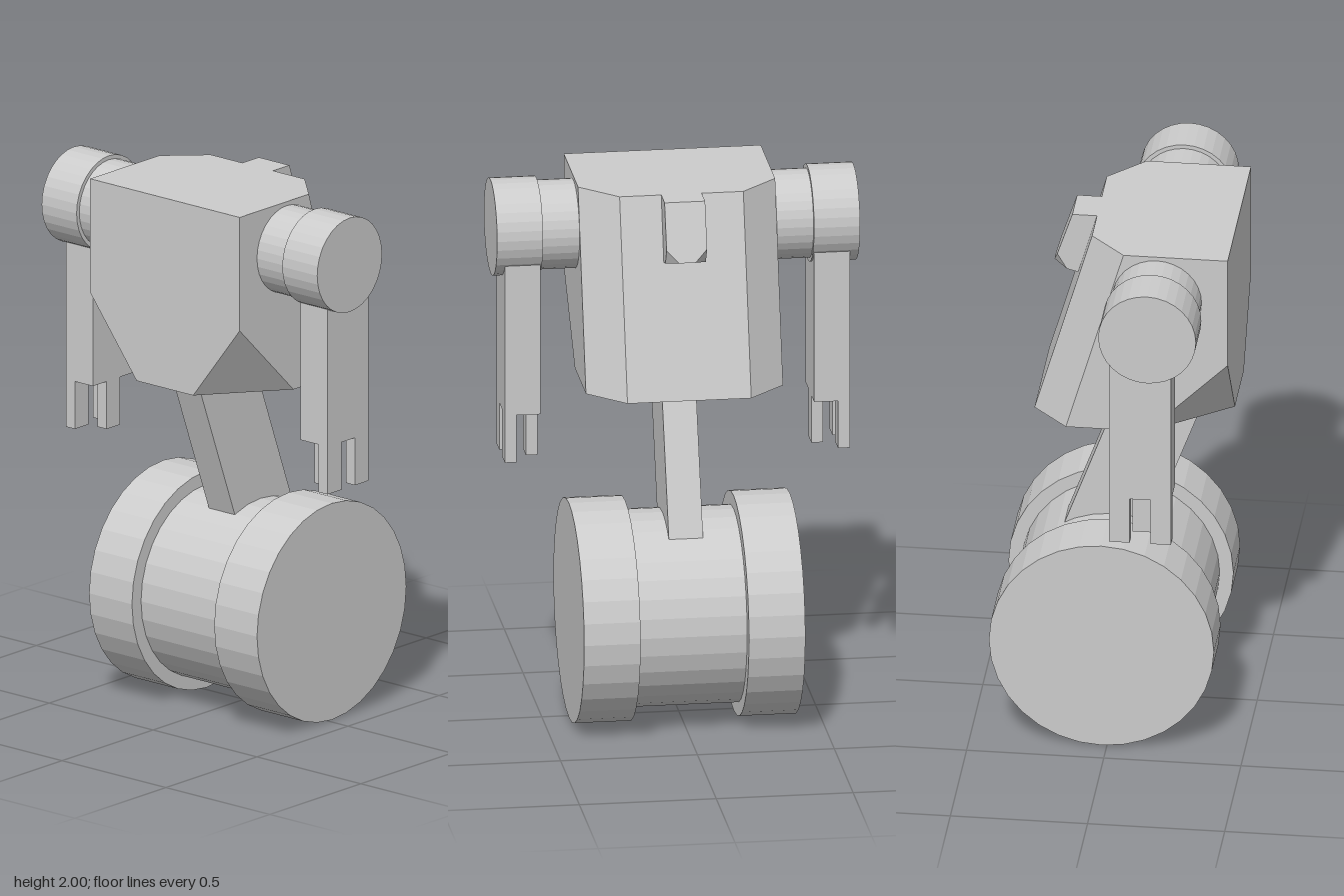
import * as THREE from 'three';
import { ConvexGeometry } from 'three/addons/geometries/ConvexGeometry.js';

const material = new THREE.MeshStandardMaterial({ color: 0xcccccc, flatShading: true });

function add(parent, name, geometry) {
  const mesh = new THREE.Mesh(geometry, material);
  mesh.name = name;
  parent.add(mesh);
  return mesh;
}

// Box given by its limits on each axis
function box(parent, name, [x0, x1], [y0, y1], [z0, z1]) {
  add(parent, name, new THREE.BoxGeometry(x1 - x0, y1 - y0, z1 - z0))
    .position.set((x0 + x1) / 2, (y0 + y1) / 2, (z0 + z1) / 2);
}

// Cylinder lying along z
function drum(parent, name, x, y, radius, z0, z1) {
  const geometry = new THREE.CylinderGeometry(radius, radius, z1 - z0, 32).rotateX(Math.PI / 2);
  add(parent, name, geometry).position.set(x, y, (z0 + z1) / 2);
}

// Convex solid from corners that are mirrored in z
function mirroredHull(parent, name, corners) {
  const points = corners.flatMap(([x, y, z]) => [new THREE.Vector3(x, y, z), new THREE.Vector3(x, y, -z)]);
  add(parent, name, new ConvexGeometry(points));
}

function createArm(side) {
  const arm = new THREE.Group();
  arm.name = side > 0 ? 'armPositiveZ' : 'armNegativeZ';
  const span = (a, b) => (side > 0 ? [a, b] : [-b, -a]);
  drum(arm, 'shoulderJoint', -0.177, 1.822, 0.163, ...span(0.33, 0.5));
  drum(arm, 'shoulderCap', -0.177, 1.822, 0.178, ...span(0.495, 0.663));
  box(arm, 'forearm', [-0.26, -0.035], [1.145, 1.8], span(0.5, 0.63));
  // Two outer fingers and an inner thumb between them
  box(arm, 'backFinger', [-0.26, -0.185], [0.965, 1.145], span(0.587, 0.63));
  box(arm, 'frontFinger', [-0.11, -0.035], [0.965, 1.145], span(0.587, 0.63));
  box(arm, 'thumb', [-0.185, -0.11], [0.965, 1.145], span(0.5, 0.543));
  return arm;
}

export function createModel() {
  const model = new THREE.Group();
  model.name = 'wheeledRobot';

  // Torso with bevelled front edges and clipped lower back corners
  mirroredHull(model, 'torso', [
    [-0.435, 2, 0.36], [-0.055, 2, 0.36], [0.075, 2, 0.226],
    [0.155, 1.28, 0.36], [0.285, 1.28, 0.226],
    [-0.435, 1.57, 0.36], [-0.14, 1.28, 0.36], [-0.435, 1.28, 0.226 - 0.09],
  ]);

  // Eye block on the sloping front
  mirroredHull(model, 'eye', [
    [0.05, 2, 0.074], [0.165, 2, 0.074], [0.22, 1.835, 0.074],
    [0.235, 1.79, 0.03], [0.185, 1.775, 0.074], [0.12, 1.758, 0.074],
  ]);

  // Slanted strut from torso to wheel
  mirroredHull(model, 'strut', [
    [-0.367, 1.4, 0.0625], [-0.055, 1.4, 0.0625],
    [-0.07, 0.6, 0.0625], [0.24, 0.6, 0.0625],
  ]);

  // Wheel: narrower hub between two rims
  const wheel = new THREE.Group();
  wheel.name = 'wheel';
  drum(wheel, 'hub', 0.02, 0.41, 0.36, -0.21, 0.21);
  for (const [name, z0, z1] of [['rimPositiveZ', 0.198, 0.404], ['rimNegativeZ', -0.404, -0.198]]) {
    drum(wheel, name, 0.02, 0.41, 0.41, z0, z1);
  }
  model.add(wheel);

  for (const side of [1, -1]) model.add(createArm(side));
  return model;
}
